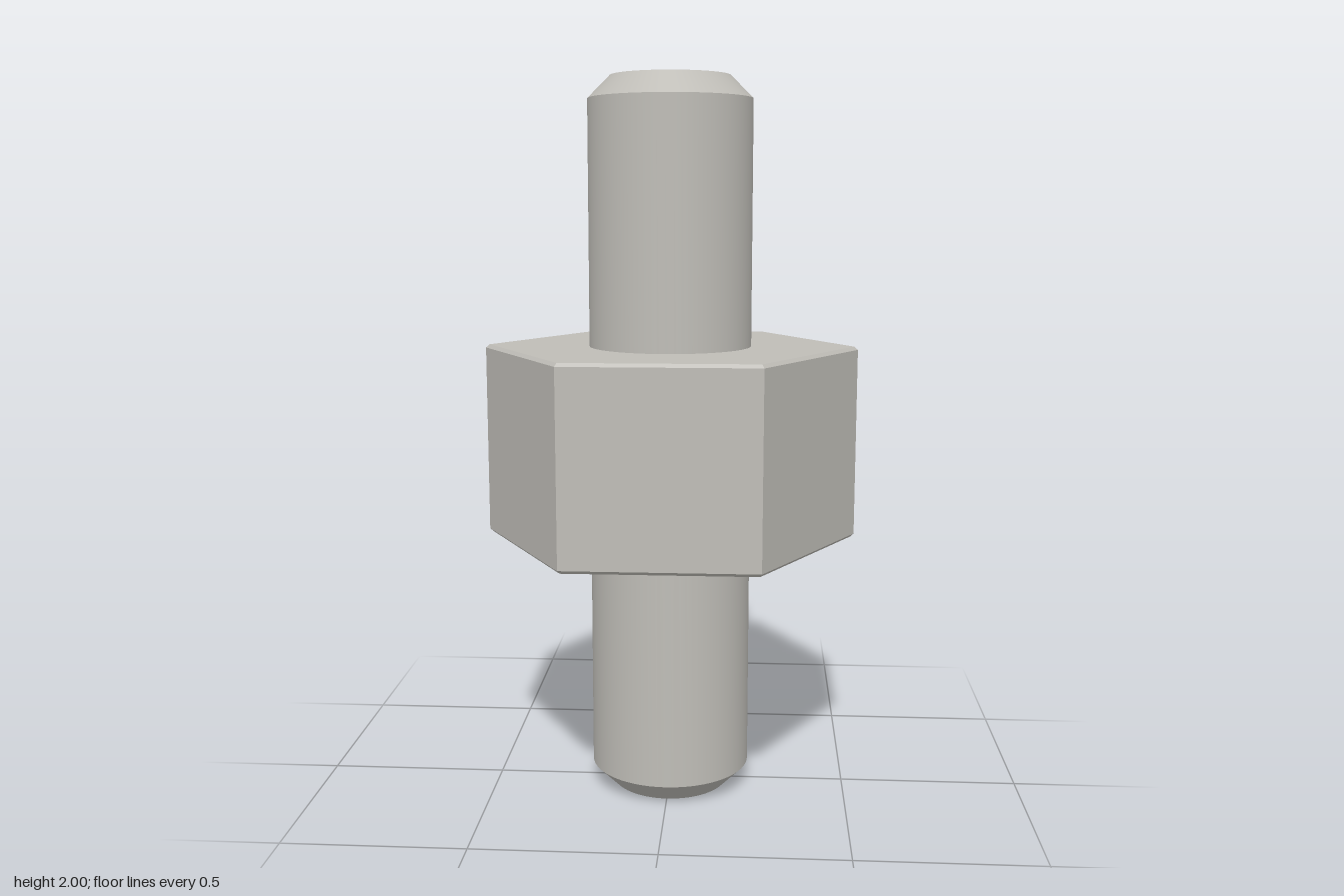
import * as THREE from 'three';
import { toCreasedNormals } from 'three/addons/utils/BufferGeometryUtils.js';

const steel = new THREE.MeshStandardMaterial({ color: 0xbfbdb7 });
steel.name = 'steel';

// Closed solid of revolution with chamfered ends; six segments make a hexagon
function chamferedBar(name, radius, bottom, top, inset, rise, segments) {
  const profile = [
    [0, bottom],
    [radius - inset, bottom],
    [radius, bottom + rise],
    [radius, top - rise],
    [radius - inset, top],
    [0, top],
  ].map(([x, y]) => new THREE.Vector2(x, y));
  const lathe = new THREE.LatheGeometry(profile, segments, Math.PI / 2);
  const mesh = new THREE.Mesh(toCreasedNormals(lathe, 0.5), steel);
  mesh.name = name;
  return mesh;
}

export function createModel() {
  const model = new THREE.Group();
  model.name = 'hexStud';
  // Round shaft running the full height
  model.add(chamferedBar('shaft', 0.225, 0, 2, 0.061, 0.061, 64));
  // Hexagonal collar with corners pointing along x
  model.add(chamferedBar('hexCollar', 0.52, 0.73, 1.27, 0.01, 0.009, 6));
  return model;
}
